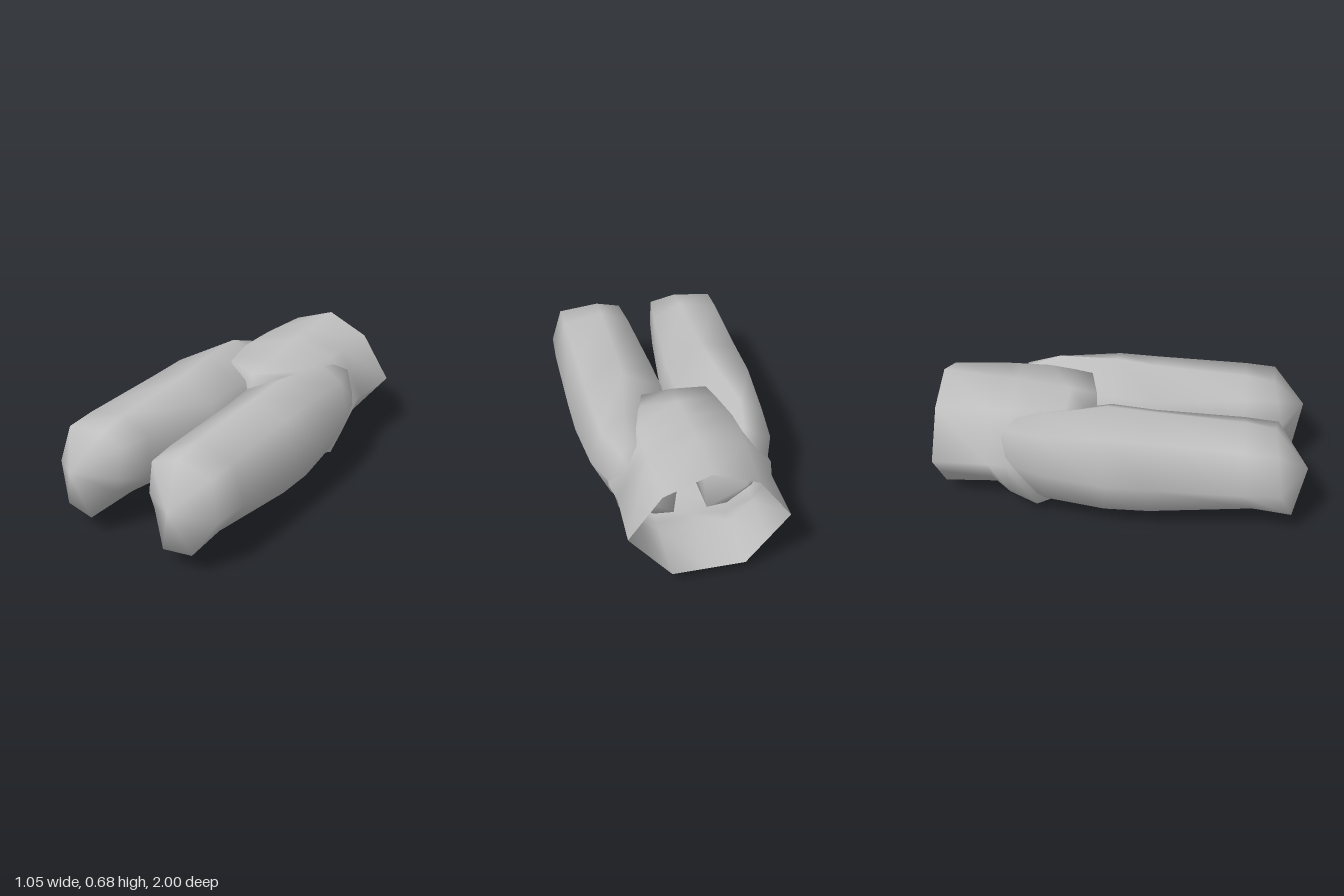
import * as THREE from 'three';

const grey = new THREE.MeshStandardMaterial({ color: 0xbfbfbf, side: THREE.DoubleSide });
grey.name = 'plain grey';

// Smooth skin over rings of [x, y, z] points (clockwise seen from the front, back to front),
// with an optional pointed cap at either end.
function loft(rings, backTip, frontTip) {
  const n = rings[0].length;
  const points = rings.flat();
  const index = [];
  for (let j = 0; j < n; j++) {
    const k = (j + 1) % n;
    for (let i = 0; i < rings.length - 1; i++) {
      const a = i * n + j, b = i * n + k;
      index.push(a, a + n, b, b, a + n, b + n);
    }
  }
  const cap = (tip, start, front) => {
    if (!tip) return;
    const t = points.push(tip) - 1;
    for (let j = 0; j < n; j++) {
      const a = start + j, b = start + (j + 1) % n;
      index.push(t, ...(front ? [b, a] : [a, b]));
    }
  };
  cap(backTip, 0, false);
  cap(frontTip, (rings.length - 1) * n, true);
  const g = new THREE.BufferGeometry();
  g.setAttribute('position', new THREE.Float32BufferAttribute(points.flat(), 3));
  g.setIndex(index);
  g.computeVertexNormals();
  return g;
}

// Leg sections: top, outer top, outer, outer bottom, bottom, inner bottom, inner, inner top
// (a third number in a point is its own z)
const legSections = [
  [-0.60, [[.29, .575, -.56], [.36, .545], [.41, .36], [.33, .22], [.2, .12], [.09, .11], [.07, .3], [.09, .47]]],
  [-0.40, [[.31, .63], [.43, .56], [.49, .36], [.39, .14], [.2, .1], [.07, .15], [.05, .3], [.09, .5]]],
  [-0.07, [[.25, .66], [.45, .585], [.52, .33], [.43, .12], [.2, .085], [.05, .17], [.035, .31], [.035, .54]]],
  [0.17, [[.24, .633], [.45, .575], [.525, .33], [.44, .13], [.2, .09], [.055, .2], [.02, .28], [.04, .52]]],
  [0.66, [[.24, .6], [.46, .555], [.525, .33], [.42, .175, .72], [.24, .12, .62], [.11, .25], [.07, .33], [.08, .53]]],
  [0, [[.24, .57, .82], [.46, .54, .83], [.515, .33, .86], [.41, .14, .93], [.24, .12, .945], [.13, .28, .87], [.1, .36, .87], [.1, .525, .84]]],
];

function legGeometry(side) {
  const rings = legSections.map(([z, pts]) => {
    const ring = pts.map(([x, y, ownZ]) => [side * x, y, ownZ ?? z]);
    return side < 0 ? ring.reverse() : ring;
  });
  return loft(rings, [side * .27, .32, -.71], [side * .32, .385, 1]);
}

// Pelvis half sections from top centre to bottom centre
const pelvisSections = [
  [-1.0, [[0, .685], [.24, .59], [.41, .35], [.3, .21], [.19, .07], [0, .07]]],
  [-0.7, [[0, .66], [.25, .6], [.405, .35], [.31, .2], [.19, .085], [0, .085]]],
  [-0.6, [[0, .65], [.25, .6], [.43, .36], [.34, .13], [.185, .05], [0, .08]]],
  [-0.45, [[0, .627], [.24, .605], [.42, .36], [.36, .07], [.18, .003], [0, .07]]],
  [-0.30, [[0, .605], [.205, .605], [.26, .36], [.29, .1], [.17, .06], [0, .12]]],
  [-0.20, [[0, .585, -.155], [.175, .605], [.18, .36], [.18, .13], [.1, .15], [0, .2]]],
];

function pelvisGeometry() {
  const rings = pelvisSections.map(([z, half]) => [
    ...half.map(([x, y, ownZ]) => [x, y, ownZ ?? z]),
    ...half.slice(1, -1).reverse().map(([x, y]) => [-x, y, z]),
  ]);
  return loft(rings, null, [0, .4, -.155]);
}

export function createModel() {
  const model = new THREE.Group();
  model.name = 'hips and thighs';
  const add = (name, geometry) => {
    const mesh = new THREE.Mesh(geometry, grey);
    mesh.name = name;
    model.add(mesh);
  };
  add('pelvis', pelvisGeometry());
  add('leftThigh', legGeometry(1));
  add('rightThigh', legGeometry(-1));
  return model;
}
